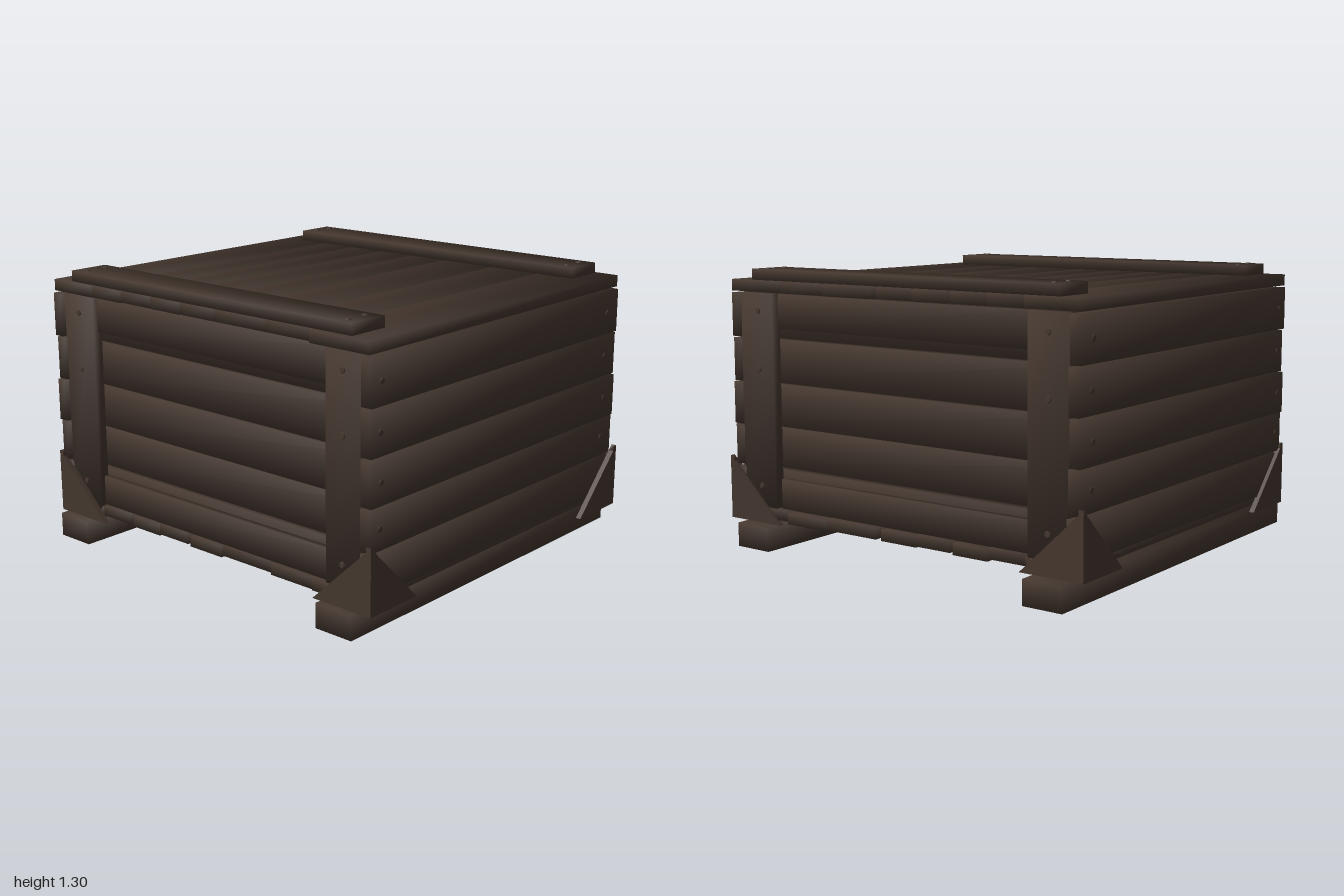
import * as THREE from 'three';

const wood = new THREE.MeshStandardMaterial({ color: 0x46382f });
wood.name = 'dark wood';

// Box whose corner normals point diagonally outward, so that boards look softly rounded
function softBox(w, h, d) {
  const g = new THREE.BoxGeometry(w, h, d);
  const p = g.attributes.position;
  const k = 1 / Math.sqrt(3);
  for (let i = 0; i < p.count; i++) {
    g.attributes.normal.setXYZ(i, Math.sign(p.getX(i)) * k, Math.sign(p.getY(i)) * k, Math.sign(p.getZ(i)) * k);
  }
  return g;
}

export function createModel() {
  const root = new THREE.Group();
  root.name = 'crate';

  // Board given by its extents on each axis
  function board(name, [x0, x1], [y0, y1], [z0, z1]) {
    const m = new THREE.Mesh(softBox(x1 - x0, y1 - y0, z1 - z0), wood);
    m.position.set((x0 + x1) / 2, (y0 + y1) / 2, (z0 + z1) / 2);
    m.name = name;
    root.add(m);
  }

  // Nail head whose axis points along dir
  const nailGeo = new THREE.CylinderGeometry(0.013, 0.017, 0.008, 6);
  function nail(x, y, z, dir) {
    const m = new THREE.Mesh(nailGeo, wood);
    m.position.set(x, y, z);
    m.quaternion.setFromUnitVectors(new THREE.Vector3(0, 1, 0), dir);
    m.name = 'nail';
    root.add(m);
  }

  // Skids under the crate
  board('leftSkid', [0.7, 0.895], [0, 0.113], [-0.96, 0.96]);
  board('rightSkid', [-0.945, -0.75], [0, 0.113], [-0.97, 0.97]);

  // Lid and floor planks running front to back: x range, back end, front end
  const planks = [
    [-0.975, -0.71, -0.9, 0.915], [-0.706, -0.517, -0.89, 0.91],
    [-0.512, -0.327, -0.895, 0.9], [-0.32, -0.133, -0.905, 0.905],
    [-0.122, 0.078, -0.89, 0.9], [0.088, 0.378, -0.915, 0.9],
    [0.38, 0.635, -0.905, 0.9], [0.642, 0.955, -0.9, 0.925],
  ];
  planks.forEach(([x0, x1, z0, z1], i) => {
    board('lidPlank', [x0, x1], [1.197, 1.25], [z0, z1]);
    const lift = i % 2 ? 0.006 : -0.004;
    board('floorPlank', [Math.max(x0, -0.92), Math.min(x1, 0.92)], [0.132 + lift, 0.184 + lift], [z0 + 0.01, z1 - 0.01]);
  });

  // Wall planks in five rows
  const rows = [[0.18, 0.368], [0.38, 0.569], [0.572, 0.77], [0.776, 0.977], [0.984, 1.187]];
  rows.forEach(([y0, y1], i) => {
    const s = i % 2 ? 0.006 : i === 0 ? 0.012 : 0;
    board('leftWallPlank', [0.912 - s, 0.968 - s], [y0, y1], [-0.89, 0.925 - s]);
    board('rightWallPlank', [-0.974 + s, -0.922 + s], [y0, y1], [-0.89, 0.925 - s]);
    board('frontWallPlank', [-0.91, 0.9], [y0, y1], [0.805, 0.857]);
    board('backWallPlank', [-0.91, 0.9], [y0, y1], [-0.842, -0.79]);
    if (i === 0) return;
    for (const z of [-0.8, 0.865]) {
      nail(0.969 - s, (y0 + y1) / 2, z, new THREE.Vector3(1, 0, 0));
      nail(-0.975 + s, (y0 + y1) / 2, z, new THREE.Vector3(-1, 0, 0));
    }
  });

  // Corner posts and horizontal rails on the front and back
  for (const [side, z0, z1, rail] of [['front', 0.857, 0.905, [0.857, 0.885]], ['back', -0.89, -0.842, [-0.87, -0.842]]]) {
    board(side + 'LeftPost', [0.71, 0.908], [0.17, 1.192], [z0, z1]);
    board(side + 'RightPost', [-0.92, -0.72], [0.17, 1.192], [z0, z1]);
    board(side + 'TopRail', [-0.712, 0.692], [1.03, 1.19], rail);
    board(side + 'BottomRail', [-0.712, 0.692], [0.19, 0.33], rail);
    const out = Math.sign(z0);
    for (const y of [0.29, 0.84, 1.11]) {
      for (const x of [-0.82, 0.8]) nail(x, y, out > 0 ? z1 + 0.001 : z0 - 0.001, new THREE.Vector3(0, 0, out));
    }
  }

  // Battens across the lid
  for (const [name, z0, z1] of [['backBatten', -0.88, -0.683], ['frontBatten', 0.697, 0.895]]) {
    board(name, [-0.87, 0.842], [1.25, 1.3], [z0, z1]);
    for (const x of [-0.81, 0.78]) {
      for (const z of [z0 + 0.048, z1 - 0.048]) nail(x, 1.3, z, new THREE.Vector3(0, 1, 0));
    }
  }

  // Triangular plates guarding each bottom corner
  function guardPlate(reach) {
    const tri = new THREE.Shape([[0, 0], [reach, 0], [0, 0.3]].map(([x, y]) => new THREE.Vector2(x, y)));
    return new THREE.ExtrudeGeometry(tri, { depth: 0.025, bevelEnabled: false });
  }
  const corners = [
    ['frontLeft', 0.975, 0.934], ['frontRight', -0.98, 0.934],
    ['backLeft', 0.995, -0.902], ['backRight', -1, -0.902],
  ];
  for (const [name, x, z] of corners) {
    const g = new THREE.Group();
    g.name = name + 'CornerGuard';
    const endPlate = new THREE.Mesh(guardPlate(0.315), wood);
    endPlate.position.z = -0.025;
    endPlate.name = 'endPlate';
    const sidePlate = new THREE.Mesh(guardPlate(0.3), wood);
    sidePlate.rotation.y = Math.PI / 2;
    sidePlate.name = 'sidePlate';
    g.add(endPlate, sidePlate);
    // The plates are laid out for the front right corner, then mirrored
    g.position.set(x, 0.115, z);
    g.scale.set(-Math.sign(x), 1, Math.sign(z));
    root.add(g);
  }
  return root;
}
